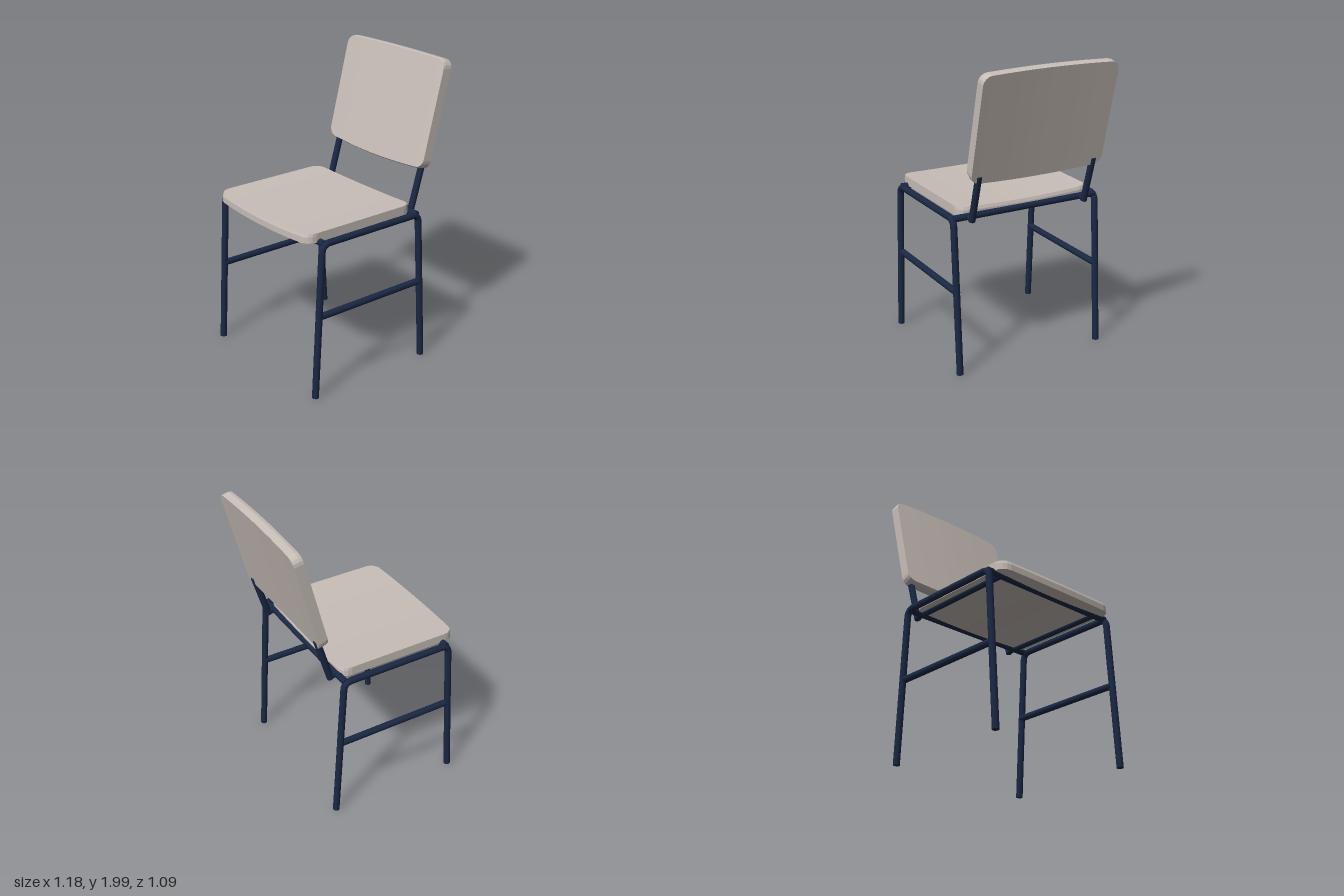
import * as THREE from 'three';

const tubeMat = new THREE.MeshStandardMaterial({ color: 0x1a2844 });
const panelMat = new THREE.MeshStandardMaterial({ color: 0xc8beb8, flatShading: true });
const R = 0.022;
const v = (x, y, z) => new THREE.Vector3(x, y, z);

// Straight capped tube between two points
function rod(name, a, b) {
  const d = b.clone().sub(a);
  const mesh = new THREE.Mesh(new THREE.CylinderGeometry(R, R, d.length(), 14), tubeMat);
  mesh.position.copy(a).add(b).multiplyScalar(0.5);
  mesh.quaternion.setFromUnitVectors(v(0, 1, 0), d.normalize());
  mesh.name = name;
  return mesh;
}

// Rounded, slightly bowed pad: length along x, thickness along y, lofted across z
function panel(name, { x0, x1, top, thick, half, radius, bow0, bow1, dish }) {
  const zs = [];
  for (let i = 0; i <= 4; i++) zs.push(-half + radius * (1 - Math.cos(i * Math.PI / 8)));
  for (let i = 1; i < 8; i++) zs.push((half - radius) * (i / 4 - 1));
  for (let i = 4; i >= 0; i--) zs.push(half - radius * (1 - Math.cos(i * Math.PI / 8)));

  const pos = [], idx = [];
  for (const z of zs) {
    const t = (z / half) ** 2;
    const c = Math.max(0, Math.abs(z) - (half - radius));
    const inset = radius - Math.sqrt(Math.max(0, radius * radius - c * c));
    const a = x0 + bow0 * t + inset, b = x1 - bow1 * t - inset;
    const y = top + dish * t;
    const e = 0.008;
    // Ring: lower front, lower back, upper back, upper front
    pos.push(a, y - thick, z, b, y - thick, z, b, y - 0.02, z, b - e, y, z, a + e, y, z, a, y - 0.02, z);
  }
  const n = 6;
  for (let i = 0; i < zs.length - 1; i++) {
    for (let j = 0; j < n; j++) {
      const p = i * n + j, q = i * n + (j + 1) % n;
      idx.push(p, q, q + n, p, q + n, p + n);
    }
  }
  const last = (zs.length - 1) * n;
  for (let j = 1; j < n - 1; j++) {
    idx.push(0, j + 1, j);
    idx.push(last, last + j, last + j + 1);
  }
  const geo = new THREE.BufferGeometry();
  geo.setAttribute('position', new THREE.Float32BufferAttribute(pos, 3));
  geo.setIndex(idx);
  const flat = geo.toNonIndexed();
  flat.computeVertexNormals();
  const mesh = new THREE.Mesh(flat, panelMat);
  mesh.name = name;
  return mesh;
}

export function createModel() {
  const chair = new THREE.Group();
  chair.name = 'chair';
  const railY = 1.033, bend = 0.055;

  for (const s of [1, -1]) {
    // Side frame: two splayed legs joined by a bent top rail, plus a stretcher
    const side = new THREE.Group();
    side.name = s > 0 ? 'leftSideFrame' : 'rightSideFrame';
    const z = 0.521 * s;
    const ends = [
      { leg: 'frontLeg', foot: v(-0.553, 0.002, z), corner: v(-0.493, railY, z), dir: 1 },
      { leg: 'backLeg', foot: v(0.342, 0.002, z), corner: v(0.282, railY, z), dir: -1 },
    ];
    const railEnds = ends.map(({ leg, foot, corner, dir }) => {
      const legTop = corner.clone().add(foot.clone().sub(corner).setLength(bend));
      const railEnd = corner.clone().add(v(dir * bend, 0, 0));
      side.add(rod(leg, foot, legTop));
      const curve = new THREE.QuadraticBezierCurve3(legTop, corner, railEnd);
      const elbow = new THREE.Mesh(new THREE.TubeGeometry(curve, 10, R, 14), tubeMat);
      elbow.name = leg + 'Bend';
      side.add(elbow);
      return railEnd;
    });
    side.add(rod('topRail', railEnds[0], railEnds[1]));
    side.add(rod('stretcher', v(-0.52, 0.553, 0.516 * s), v(0.309, 0.553, 0.516 * s)));
    chair.add(side);

    // Backrest support: bar under the seat, then a leaning post
    const support = new THREE.Group();
    support.name = s > 0 ? 'leftBackSupport' : 'rightBackSupport';
    const zb = 0.412 * s;
    support.add(rod('seatBar', v(-0.478, railY, zb), v(0.325, railY, zb)));
    support.add(rod('backPost', v(0.318, 1.015, zb), v(0.411, 1.33, zb)));
    chair.add(support);
  }

  // Cross bars joining the side frames
  chair.add(rod('frontCrossBar', v(-0.478, railY, -0.52), v(-0.478, railY, 0.52)));
  chair.add(rod('backCrossBar', v(0.272, railY, -0.52), v(0.272, railY, 0.52)));

  // Seat pad, gently dished
  chair.add(panel('seat', {
    x0: -0.59, x1: 0.275, top: 1.083, thick: 0.06, half: 0.478,
    radius: 0.065, bow0: 0.022, bow1: 0.008, dish: 0.012,
  }));

  // Backrest pad, leaning back
  const back = panel('backrest', {
    x0: 0, x1: 0.738, top: 0, thick: 0.066, half: 0.469,
    radius: 0.055, bow0: 0.022, bow1: 0.008, dish: -0.01,
  });
  back.position.set(0.336, 1.285, 0);
  back.rotation.z = THREE.MathUtils.degToRad(75.6);
  chair.add(back);

  return chair;
}
